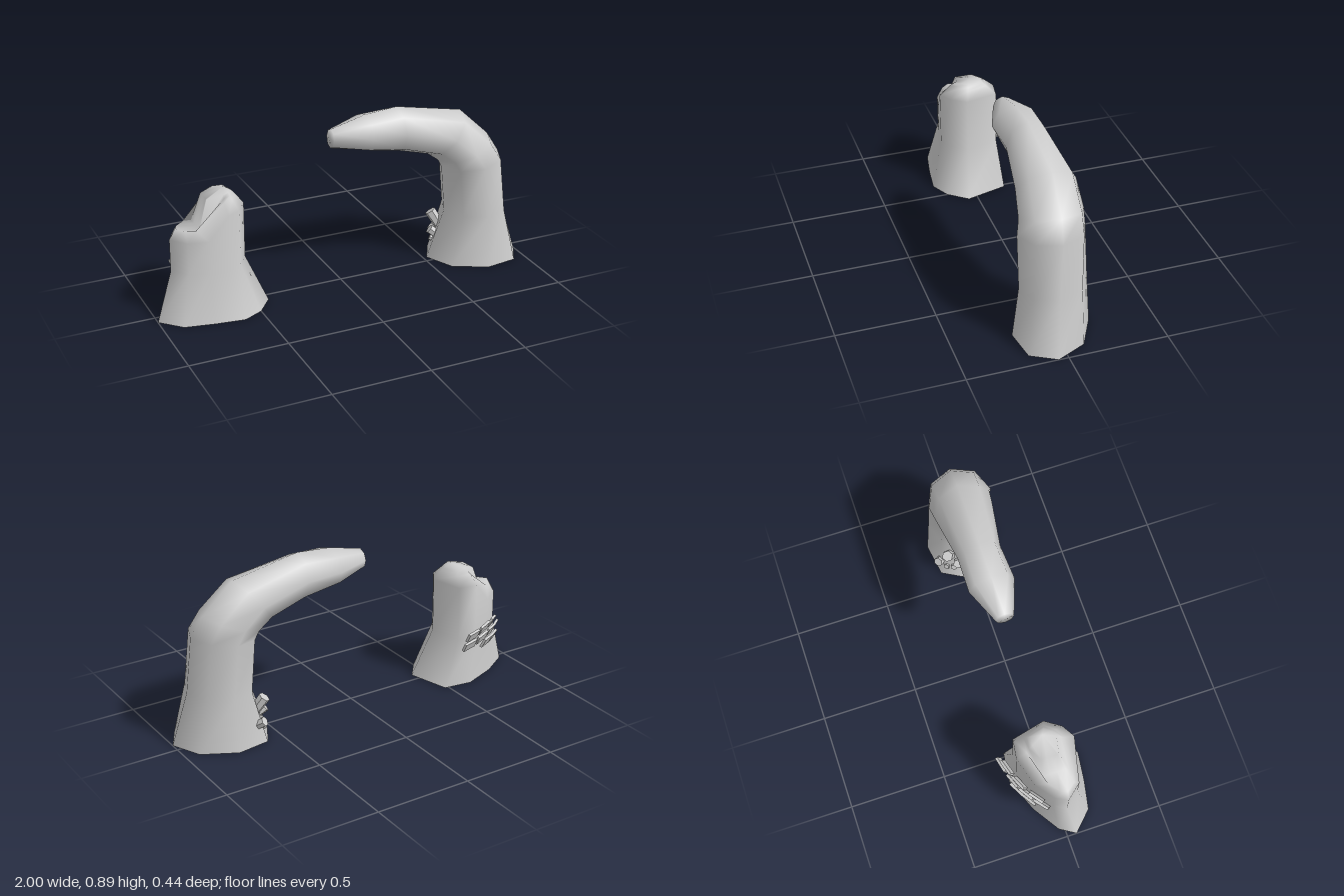
import * as THREE from 'three';

const V = (x, y, z) => new THREE.Vector3(x, y, z);
const rock = new THREE.MeshStandardMaterial({ color: 0xcccccc, side: THREE.DoubleSide });
const faceted = new THREE.MeshStandardMaterial({ color: 0xcccccc, flatShading: true });

// Skin a list of equal-length rings; the last ring is closed to a tip point
function loft(name, rings, tip) {
  const n = rings[0].length, index = [];
  const points = [...rings.flat(), tip];
  for (let r = 0; r < rings.length; r++) {
    for (let i = 0; i < n; i++) {
      const a = r * n + i, b = r * n + (i + 1) % n;
      if (r < rings.length - 1) index.push(a, a + n, b, b, a + n, b + n);
      else index.push(a, points.length - 1, b);
    }
  }
  const geometry = new THREE.BufferGeometry().setFromPoints(points);
  geometry.setIndex(index);
  geometry.computeVertexNormals();
  const mesh = new THREE.Mesh(geometry, rock);
  mesh.name = name;
  return mesh;
}

// Bent column: each section runs from an inner to an outer point, with a z range
function makeArch() {
  const sections = [ // inner x, y, outer x, y, back z, front z, skew
    [0.52, 0.01, 1.0, 0.01, -0.19, 0.2, 0.045],
    [0.605, 0.28, 0.925, 0.29, -0.17, 0.17, 0.02],
    [0.57, 0.54, 0.9, 0.58, -0.165, 0.17, 0],
    [0.555, 0.575, 0.84, 0.68, -0.17, 0.15, 0],
    [0.5, 0.615, 0.68, 0.83, -0.17, 0.13, 0],
    [0.33, 0.66, 0.32, 0.9, -0.135, 0.085, 0],
    [0.13, 0.7, 0.14, 0.885, -0.14, 0.095, 0],
    [-0.05, 0.74, -0.045, 0.84, -0.065, 0.03, 0],
  ];
  const rings = sections.map(([ix, iy, ox, oy, z0, z1, skew]) =>
    Array.from({ length: 8 }, (_, i) => {
      const c = Math.cos(i * Math.PI / 4), s = Math.sin(i * Math.PI / 4);
      return V((ix + ox + c * (ox - ix)) / 2, (iy + oy + c * (oy - iy)) / 2,
        (z0 + z1 + s * (z1 - z0)) / 2 + skew * c);
    }));
  return loft('archRock', rings, V(-0.048, 0.79, -0.018));
}

// Flared stump with a tall peak on one side and a low shoulder on the other
function makeStump() {
  const outline = [[-0.42, 0.05], [-0.5, 0.15], [-0.6, 0.2], [-0.75, 0.18], [-0.9, 0.15],
    [-1, 0.05], [-0.95, -0.03], [-0.81, -0.12], [-0.63, -0.19], [-0.48, -0.17]];
  const ring = (rule) => outline.map(([x, z], i) => V(...rule(x, z, i >= 3 && i <= 7)));
  const waist = (x) => -0.72 + (x + 0.71) * 0.665;
  const depth = (z) => z * 0.78 - 0.02;
  const rings = [
    ring((x, z) => [x, 0.01, z]),
    ring((x, z) => [waist(x), 0.26, depth(z)]),
    ring((x, z, low) => [waist(x), low ? 0.425 : 0.55, depth(z)]),
    ring((x, z, low) => low
      ? [-0.83 + (x + 0.85) * 0.35, 0.478, z * 0.45]
      : [-0.62 + (x + 0.54) * 0.5, 0.595, z * 0.5 - 0.02]),
    ring((x, z, low) => low
      ? [-0.77, 0.466, z * 0.45 - 0.015]
      : [-0.62 + (x + 0.54) * 0.4, 0.61, z * 0.42 - 0.02]),
    ring((x, z, low) => low
      ? [-0.72, 0.605, z * 0.3 - 0.025]
      : [-0.62 + (x + 0.54) * 0.3, 0.622, z * 0.32 - 0.02]),
  ];
  return loft('stumpRock', rings, V(-0.615, 0.637, -0.02));
}

// Cluster of six-sided prisms at the foot of the arch
function makePrisms() {
  const group = new THREE.Group();
  group.name = 'prismCluster';
  const list = [ // sideways offset, tip height, radius, length, upward lean
    [0, 0.235, 0.03, 0.17, 1.5], [-0.055, 0.13, 0.025, 0.11, 0.7], [0.055, 0.155, 0.026, 0.12, 0.8],
    [-0.012, 0.085, 0.016, 0.09, 0.4], [0.03, 0.095, 0.017, 0.09, 0.4],
  ];
  for (const [u, y, radius, length, lean] of list) {
    const dir = V(-0.8 - u * 2, lean, -0.6 + u * 4).normalize();
    const prism = new THREE.Mesh(new THREE.CylinderGeometry(radius, radius * 0.8, length, 6), faceted);
    prism.name = 'prism';
    prism.quaternion.setFromUnitVectors(V(0, 1, 0), dir);
    prism.position.set(0.58 - 0.5 * u, y, -0.125 + 0.86 * u).addScaledVector(dir, -length / 2);
    group.add(prism);
  }
  return group;
}

// Rows of thin plates across the back of the stump, tilted outward at the top
function makePlates() {
  const group = new THREE.Group();
  group.name = 'backPlates';
  const rows = [[0.3, [-0.13, -0.03, 0.08]], [0.262, [-0.16, -0.06, 0.03, 0.12]], [0.225, [-0.02, 0.06]]];
  rows.forEach(([y, offsets], r) => offsets.forEach((u, i) => {
    const plate = new THREE.Mesh(new THREE.BoxGeometry(0.085, 0.05, 0.014), faceted);
    plate.name = 'plate';
    plate.position.set(-0.75 - 0.88 * u + 0.47 * u * u, y - 0.1 * Math.abs(u),
      -0.155 - 0.008 * r + 0.47 * u + 0.9 * u * u);
    plate.rotation.set(0.45, Math.PI + 0.49 + u * 1.5, (i % 2 ? 1 : -1) * 0.08 - u, 'YXZ');
    group.add(plate);
  }));
  return group;
}

export function createModel() {
  const model = new THREE.Group();
  model.name = 'rockFormation';
  model.add(makeArch(), makeStump(), makePrisms(), makePlates());
  return model;
}
